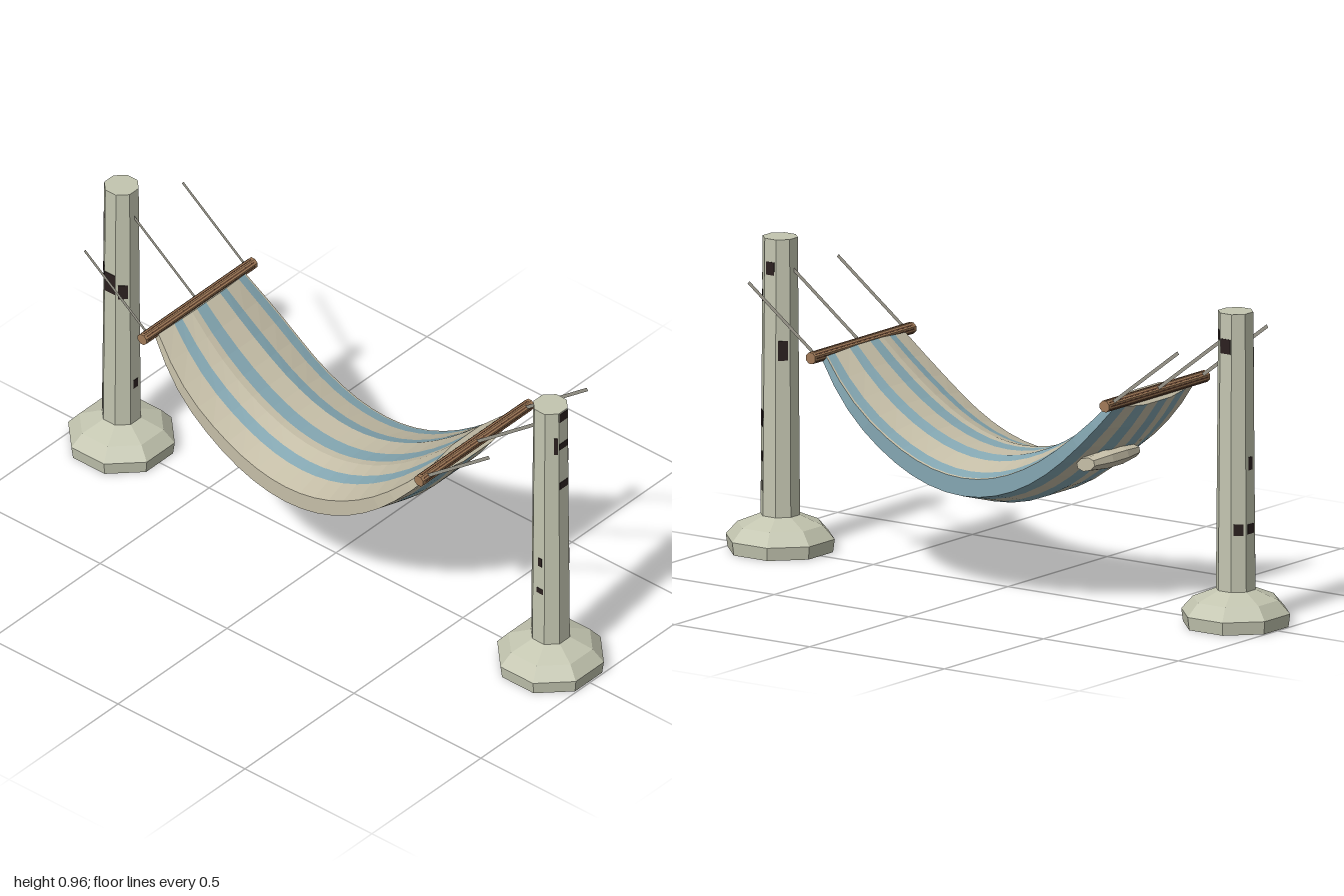
import * as THREE from 'three';

const mat = (name, color, extra = {}) => {
  const m = new THREE.MeshStandardMaterial({ color, flatShading: true, ...extra });
  m.name = name;
  return m;
};

export function createModel() {
  const both = { side: THREE.DoubleSide };
  const M = {
    stone: mat('pale stone', 0xc3c5b0, both),
    gap: mat('dark patches', 0x2b201f),
    cloth: mat('beige cloth', 0xc6bfa8, both),
    stripe: mat('blue stripe', 0x84a7b2, both),
    wood: mat('brown wood', 0xa07a58),
    bark: mat('dark wood', 0x5a3c2a),
    rope: mat('rope', 0x99968a, both),
  };
  const model = new THREE.Group();
  const add = (parent, name, geo, material, x = 0, y = 0, z = 0) => {
    const mesh = new THREE.Mesh(geo, material);
    mesh.name = name;
    mesh.position.set(x, y, z);
    parent.add(mesh);
    return mesh;
  };

  // Posts: eight-sided shaft on a hollow foot, flats facing the axes
  const toCorner = 1 / Math.cos(Math.PI / 8);
  const footProfile = [[0.15, 0], [0.155, 0.04], [0.122, 0.08], [0.055, 0.11]]
    .map(([r, y]) => new THREE.Vector2(r * toCorner, y));
  // Worn patches: [face (0 = +z, 2 = +x, ...), y, sideways offset, width, height]
  const patches = {
    1: [[2, 0.94, 0, 0.036, 0.03], [2, 0.835, 0, 0.04, 0.022], [2, 0.69, 0, 0.038, 0.025],
      [3, 0.78, -0.01, 0.014, 0.035], [3, 0.405, 0, 0.034, 0.05], [3, 0.29, 0.008, 0.018, 0.03],
      [3, 0.2, 0.01, 0.012, 0.03], [1, 0.84, 0.012, 0.012, 0.06], [0, 0.405, 0.006, 0.014, 0.03],
      [0, 0.3, 0.006, 0.024, 0.018], [5, 0.62, 0, 0.03, 0.06], [4, 0.87, 0, 0.03, 0.04]],
    '-1': [[0, 0.625, 0, 0.04, 0.07], [7, 0.655, 0.004, 0.032, 0.035], [7, 0.8, -0.014, 0.01, 0.1],
      [7, 0.17, -0.014, 0.01, 0.09], [1, 0.6, 0, 0.03, 0.05], [2, 0.25, 0, 0.02, 0.03],
      [4, 0.86, 0, 0.036, 0.045], [5, 0.3, 0, 0.03, 0.035], [6, 0.5, 0, 0.018, 0.04],
      [6, 0.3, 0, 0.03, 0.03], [3, 0.89, 0, 0.03, 0.03]],
  };
  for (const s of [1, -1]) {
    const post = new THREE.Group();
    post.name = s > 0 ? 'leftPost' : 'rightPost';
    post.position.x = 0.845 * s;
    model.add(post);
    const shaft = new THREE.CylinderGeometry(0.05 * toCorner, 0.057 * toCorner, 0.96, 8, 1, false, Math.PI / 8);
    add(post, 'shaft', shaft, M.stone, 0, 0.48);
    add(post, 'foot', new THREE.LatheGeometry(footProfile, 8, Math.PI / 8), M.stone);
    for (const [face, y, off, w, h] of patches[s]) {
      const a = face * Math.PI / 4;
      const r = 0.057 - 0.007 * y / 0.96 + 0.0005;
      const plate = add(post, 'wornPatch', new THREE.BoxGeometry(w, h, 0.002), M.gap,
        r * Math.sin(a) + off * Math.cos(a), y, r * Math.cos(a) - off * Math.sin(a));
      plate.rotation.y = a;
    }
  }

  // Sling: a padded slab hung in a curve, striped along its length
  const HALF = 0.535, ROWS = 18;
  const point = (i, v, side) => {
    const u = -1 + 2 * i / ROWS, k = 1 - u * u;
    const slope = 2 * 0.317 * u / HALF, len = Math.hypot(slope, 1);
    const edge = 0.01 + 0.0175 * k, mid = 0.03 + 0.0425 * k;
    const h = side * (edge + (mid - edge) * Math.min(1, (1 - Math.abs(v)) / 0.68));
    const width = 0.2 + 0.032 * Math.min(1, (1 - Math.abs(u)) / 0.27) ** 0.7;
    return [u * HALF - h * slope / len, 0.348 + 0.317 * u * u + h / len, v * width];
  };
  const strips = { cloth: [], stripe: [] };
  const quad = (key, a, b, c, d) => strips[key].push(...a, ...b, ...c, ...a, ...c, ...d);
  const strip = (key, v0, s0, v1, s1) => {
    for (let i = 0; i < ROWS; i++) {
      quad(key, point(i, v0, s0), point(i, v1, s1), point(i + 1, v1, s1), point(i + 1, v0, s0));
    }
  };
  const blueBands = {
    1: [[-0.97, -0.81], [-0.49, -0.32], [0, 0.21], [0.52, 0.68]],
    '-1': [[-1, -0.76], [-0.52, -0.27], [0, 0.24], [0.48, 0.75]],
  };
  for (const side of [1, -1]) {
    const bands = blueBands[side];
    const cuts = [...new Set([...bands.flat(), -1, -0.32, 0.32, 1])].sort((a, b) => a - b);
    for (let j = 0; j + 1 < cuts.length; j++) {
      const [a, b] = [cuts[j], cuts[j + 1]];
      const m = (a + b) / 2;
      const key = bands.some(([p, q]) => m > p && m < q) ? 'stripe' : 'cloth';
      if (side > 0) strip(key, a, 1, b, 1);
      else strip(key, b, -1, a, -1);
    }
  }
  strip('cloth', 1, 1, 1, -1);
  strip('stripe', -1, -1, -1, 1);
  for (const [a, b] of [[-1, -0.32], [-0.32, 0.32], [0.32, 1]]) {
    quad('cloth', point(0, a, 1), point(0, a, -1), point(0, b, -1), point(0, b, 1));
    quad('cloth', point(ROWS, a, 1), point(ROWS, b, 1), point(ROWS, b, -1), point(ROWS, a, -1));
  }
  for (const key of ['cloth', 'stripe']) {
    const geo = new THREE.BufferGeometry();
    geo.setAttribute('position', new THREE.Float32BufferAttribute(strips[key], 3));
    geo.computeVertexNormals();
    add(model, key === 'cloth' ? 'slingCloth' : 'slingStripes', geo, M[key]);
  }

  // Spreader bars with dark grain strips, and flat ropes up to the posts
  for (const s of [1, -1]) {
    const bar = new THREE.Group();
    bar.name = s > 0 ? 'leftSpreaderBar' : 'rightSpreaderBar';
    bar.position.set(0.545 * s, 0.673, 0);
    model.add(bar);
    const rod = new THREE.CylinderGeometry(0.0185, 0.0185, 0.51, 8, 1, false, Math.PI / 8);
    add(bar, 'rod', rod.rotateX(Math.PI / 2), M.wood);
    for (let f = 0; f < 8; f++) {
      const a = f * Math.PI / 4;
      const w = Math.sin(a) < -0.1 ? 0.009 : 0.004;
      const grain = add(bar, 'grain', new THREE.BoxGeometry(0.002, w, 0.49), M.bark,
        0.0168 * Math.cos(a), 0.0168 * Math.sin(a), 0);
      grain.rotation.z = a;
    }
    const from = new THREE.Vector2(0.55, 0.678), to = new THREE.Vector2(0.797, 0.866);
    const dir = to.clone().sub(from);
    for (const z of [-0.225, 0, 0.225]) {
      const rope = add(model, 'rope', new THREE.PlaneGeometry(dir.length(), 0.011), M.rope,
        s * (from.x + to.x) / 2, (from.y + to.y) / 2, z);
      rope.rotation.z = s * dir.angle();
    }
  }

  // Small pad tucked under one end of the sling
  const pad = new THREE.CylinderGeometry(0.5, 0.5, 1, 8, 3, false, Math.PI / 8).rotateX(Math.PI / 2);
  const p = pad.attributes.position;
  for (let i = 0; i < p.count; i++) {
    const k = Math.abs(p.getZ(i)) > 0.4 ? 0.7 : 1;
    p.setXY(i, p.getX(i) * k, p.getY(i) * k);
  }
  pad.scale(0.1, 0.06, 0.23);
  add(model, 'pad', pad, M.cloth, -0.417, 0.463, -0.06).rotation.z = -0.25;

  return model;
}
